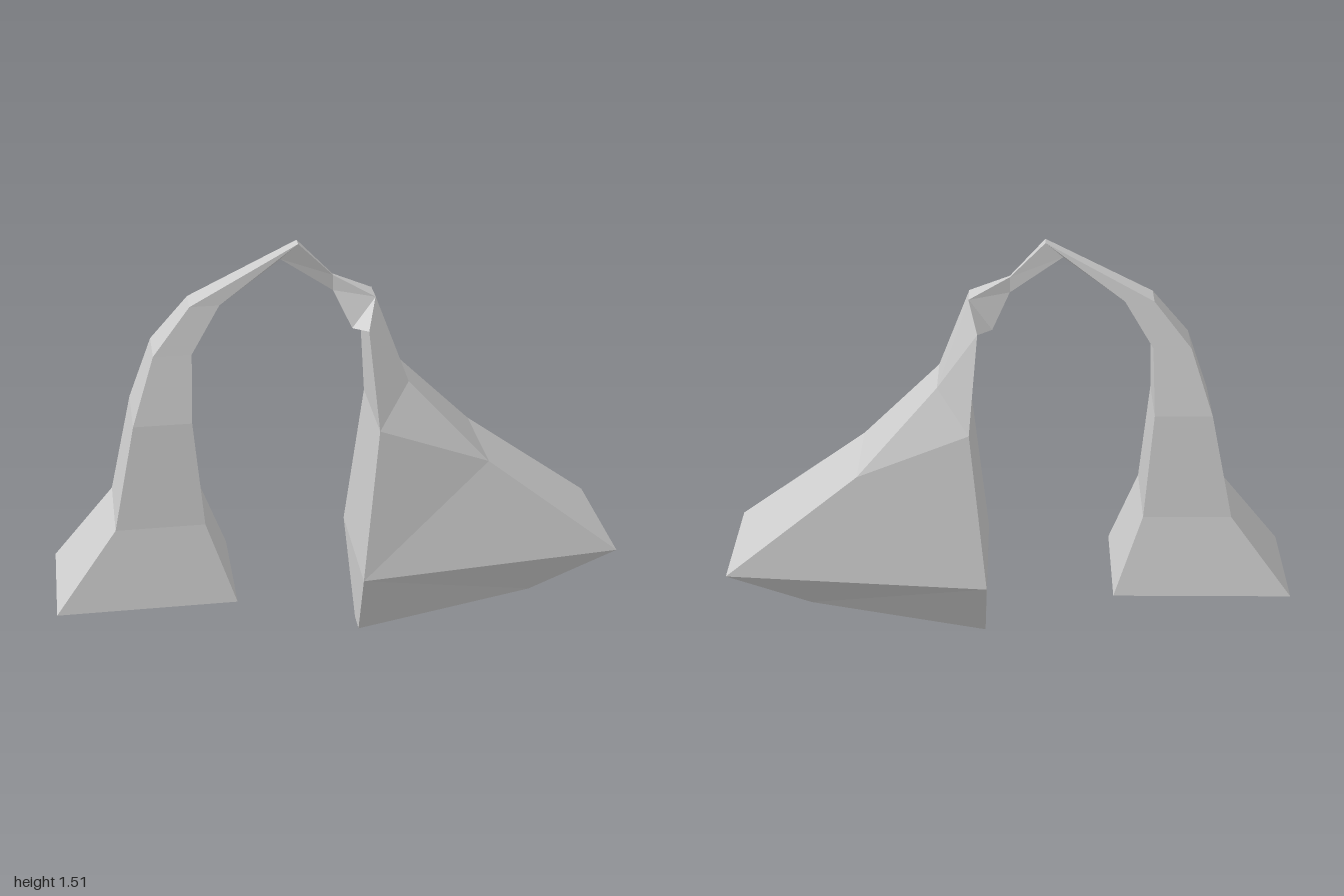
import * as THREE from 'three';

// Each section: outer x, y, inner x, y, outer half-depth, inner half-depth, centre z
const flaredLeg = [
  [-1.0, 0.26, -0.37, 0.26, 0.215, 0.215, 0.017],
  [-0.78, 0.55, -0.47, 0.55, 0.16, 0.16, 0.018],
  [-0.7, 0.925, -0.5, 0.925, 0.125, 0.125, 0.018],
  [-0.62, 1.16, -0.49, 1.16, 0.08, 0.08, 0.018],
  [-0.49, 1.32, -0.39, 1.32, 0.05, 0.05, 0.018],
];
const bridge = [
  flaredLeg[4],
  [-0.12, 1.515, -0.18, 1.465, 0.021, 0.021, 0.026],
  [0.0, 1.39, 0.0, 1.335, 0.007, 0.007, 0.018],
  [0.14, 1.32, 0.06, 1.21, 0.045, 0.045, 0.024],
];
const wedge = [
  bridge[3],
  [0.14, 1.32, 0.11, 1.215, 0.045, 0.1, 0.02],
  [0.25, 1.02, 0.14, 0.87, 0.1, 0.172, 0.016],
  [0.53, 0.72, 0.08, 0.305, 0.175, 0.235, 0.0],
  [1.0, 0.355, 0.08, 0.305, 0.235, 0.235, 0.0],
  [0.73, 0.115, 0.09, 0.0, 0.04, 0.04, 0.026],
];

// Four corners of a section: outer front, inner front, inner back, outer back
function ring([ox, oy, ix, iy, ho, hi, z]) {
  // keep the middle of the outer and inner edges in one plane
  return [
    new THREE.Vector3(ox, oy, z + ho),
    new THREE.Vector3(ix, iy, z + hi),
    new THREE.Vector3(ix, iy, z - hi),
    new THREE.Vector3(ox, oy, z - ho),
  ];
}

// Skin the sections, with optional caps at either end
function loft(name, sections, capStart, capEnd) {
  const rings = sections.map(ring);
  const positions = [];
  const tri = (a, b, c) => {
    const area = new THREE.Triangle(a, b, c).getArea();
    if (area > 1e-7) for (const p of [a, b, c]) positions.push(p.x, p.y, p.z);
  };
  for (let s = 0; s < rings.length - 1; s++) {
    const a = rings[s], b = rings[s + 1];
    for (let i = 0; i < 4; i++) {
      const j = (i + 1) % 4;
      // diagonals mirrored between the front and back sides
      if (i < 2) {
        tri(a[i], a[j], b[i]);
        tri(a[j], b[j], b[i]);
      } else {
        tri(a[i], a[j], b[j]);
        tri(a[i], b[j], b[i]);
      }
    }
  }
  if (capStart) {
    const [p, q, r, t] = rings[0];
    tri(p, r, q);
    tri(p, t, r);
  }
  if (capEnd) {
    const [p, q, r, t] = rings[rings.length - 1];
    tri(p, q, r);
    tri(p, r, t);
  }
  const geometry = new THREE.BufferGeometry();
  geometry.setAttribute('position', new THREE.Float32BufferAttribute(positions, 3));
  geometry.computeVertexNormals();
  const material = new THREE.MeshStandardMaterial({ color: 0xcccccc, flatShading: true });
  const mesh = new THREE.Mesh(geometry, material);
  mesh.name = name;
  return mesh;
}

export function createModel() {
  const group = new THREE.Group();
  group.name = 'arch';
  group.add(
    loft('flaredLeg', flaredLeg, true, false),
    loft('bridge', bridge, false, false),
    loft('wedge', wedge, false, true),
  );
  return group;
}
